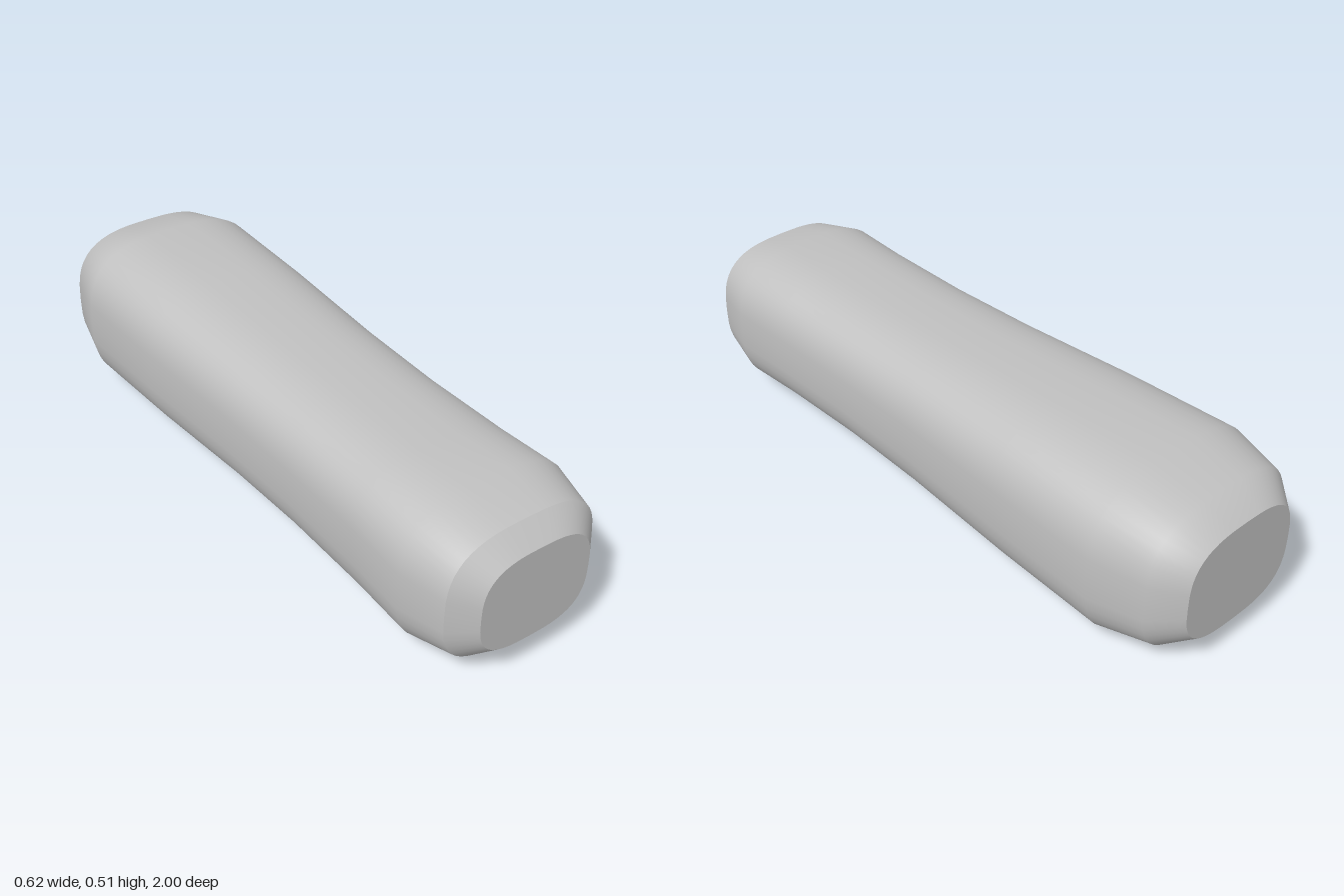
import * as THREE from 'three';

const SIDES = 48;
const CENTER_Y = 0.255;
const POWER = 2 / 2.95; // rounded-rectangle (superellipse) roundness

// One ring point of a section [z, halfWidth, halfHeight]
function ringPoint([z, w, h], i) {
  const a = (i / SIDES) * Math.PI * 2;
  const bend = (v) => (Math.abs(v) < 1e-9 ? 0 : Math.sign(v) * Math.abs(v) ** POWER);
  return [w * bend(Math.cos(a)), CENTER_Y + h * bend(Math.sin(a)), z];
}

// Smooth skin through sections ordered from front to back
function loft(sections) {
  const positions = [];
  const index = [];
  for (const s of sections) {
    for (let i = 0; i < SIDES; i++) positions.push(...ringPoint(s, i));
  }
  for (let r = 0; r < sections.length - 1; r++) {
    for (let i = 0; i < SIDES; i++) {
      const j = (i + 1) % SIDES;
      const a = r * SIDES + i, b = r * SIDES + j;
      index.push(a, a + SIDES, b, b, a + SIDES, b + SIDES);
    }
  }
  const geometry = new THREE.BufferGeometry();
  geometry.setAttribute('position', new THREE.Float32BufferAttribute(positions, 3));
  geometry.setIndex(index);
  geometry.computeVertexNormals();
  return geometry;
}

// Flat end face of a section
function cap(section, facesFront) {
  const points = [];
  for (let i = 0; i < SIDES; i++) {
    const [x, y] = ringPoint(section, i);
    points.push(new THREE.Vector2(x, y - CENTER_Y));
  }
  const geometry = new THREE.ShapeGeometry(new THREE.Shape(points));
  if (!facesFront) geometry.rotateY(Math.PI);
  return geometry.translate(0, CENTER_Y, section[0]);
}

export function createModel() {
  const gray = new THREE.MeshStandardMaterial({ color: 0xc0c0c0 });
  gray.name = 'light gray';

  const group = new THREE.Group();
  group.name = 'handle';
  const add = (name, geometry) => {
    const mesh = new THREE.Mesh(geometry, gray);
    mesh.name = name;
    group.add(mesh);
  };

  // z, half width, half height
  const front = [1, 0.18, 0.147];
  const frontRim = [0.94, 0.246, 0.2];
  const back = [-1, 0.2, 0.163];
  const body = [
    frontRim,
    [0.8, 0.281, 0.23],
    [0.6, 0.273, 0.224],
    [0.3, 0.27, 0.222],
    [0, 0.277, 0.229],
    [-0.4, 0.298, 0.246],
    [-0.76, 0.31, 0.254],
    [-0.92, 0.27, 0.22],
    back,
  ];

  add('gripBody', loft(body));
  add('frontBevel', loft([front, frontRim]));
  add('frontCap', cap(front, true));
  add('backCap', cap(back, false));
  return group;
}
